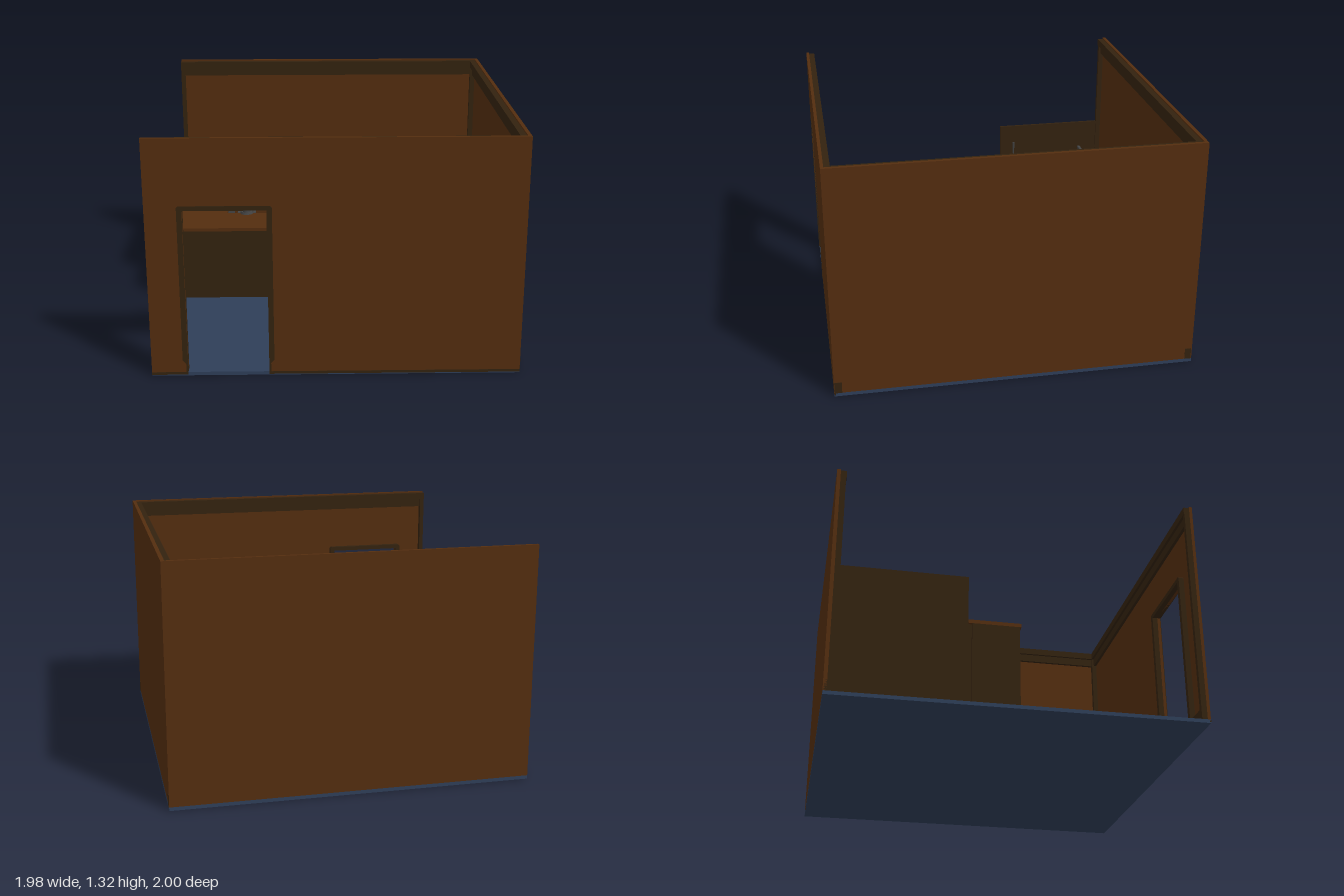
import * as THREE from 'three';

export function createModel() {
  const root = new THREE.Group();
  root.name = 'barRoom';
  const mat = (name, color) => {
    const m = new THREE.MeshStandardMaterial({ color });
    m.name = name;
    return m;
  };
  const wood = mat('brown wood', 0x532d0f);
  const trim = mat('dark wood trim', 0x33220f);
  const blue = mat('blue floor', 0x2e3e58);
  const steel = mat('grey steel', 0x444444);
  const glass = mat('dark glass', 0x2a3038);

  const add = (name, geo, m, parent = root) => {
    const mesh = new THREE.Mesh(geo, m);
    mesh.name = name;
    parent.add(mesh);
    return mesh;
  };
  // Box given by its limits on each axis
  const box = (name, m, x0, x1, y0, y1, z0, z1, parent = root) => {
    const b = add(name, new THREE.BoxGeometry(x1 - x0, y1 - y0, z1 - z0), m, parent);
    b.position.set((x0 + x1) / 2, (y0 + y1) / 2, (z0 + z1) / 2);
    return b;
  };
  const rod = (name, m, rTop, rBottom, y0, y1, x, z, parent, sides = 16) => {
    const c = add(name, new THREE.CylinderGeometry(rTop, rBottom, y1 - y0, sides), m, parent);
    c.position.set(x, (y0 + y1) / 2, z);
    return c;
  };
  const group = (name) => {
    const g = new THREE.Group();
    g.name = name;
    root.add(g);
    return g;
  };
  // Ring of four boxes around a rectangular recess
  const rim = (name, m, o, i, y0, y1, parent) => {
    box(name, m, o[0], i[0], y0, y1, o[2], o[3], parent);
    box(name, m, i[1], o[1], y0, y1, o[2], o[3], parent);
    box(name, m, i[0], i[1], y0, y1, o[2], i[2], parent);
    box(name, m, i[0], i[1], y0, y1, i[3], o[3], parent);
  };
  // Flat outline standing in the xy plane, extruded along z
  const panel = (name, m, pts, z0, z1) => {
    const s = new THREE.Shape(pts.map(([x, y]) => new THREE.Vector2(x, y)));
    const geo = new THREE.ExtrudeGeometry(s, { depth: z1 - z0, bevelEnabled: false });
    add(name, geo, m).position.z = z0;
  };

  const H = 1.32, W = 0.99, F = 0.02;
  const doorL = -0.795, doorR = -0.36, doorTop = 0.935;

  // Floor and walls; the left side stays open
  box('floor', blue, -W, W, 0, F, -1, 0.997);
  box('backWall', wood, -W, W, F, H, -1, -0.98);
  box('rightWall', wood, 0.97, W, F, H, -0.98, 0.98);
  panel('frontWall', wood, [
    [-W, F], [doorL, F], [doorL, doorTop], [doorR, doorTop], [doorR, F], [W, F], [W, H], [-W, H],
  ], 0.98, 0.997);
  box('frontSill', trim, -W, doorL, 0.005, F, 0.99, 0.998);
  box('frontSill', trim, doorR, W, 0.005, F, 0.99, 0.998);

  // Door frame around the opening
  const fo = 0.028;
  panel('doorFrame', trim, [
    [doorL - fo, 0.09], [doorL - 0.01, 0.07], [doorL - 0.01, F], [doorL, F], [doorL, doorTop],
    [doorR, doorTop], [doorR, F], [doorR + 0.01, F], [doorR + 0.01, 0.07], [doorR + fo, 0.09],
    [doorR + fo, doorTop + 0.015], [doorR + fo - 0.01, doorTop + 0.025],
    [doorL - fo + 0.01, doorTop + 0.025], [doorL - fo, doorTop + 0.015],
  ], 0.95, 1);

  // Crown moulding in two steps, and baseboards
  const crown = [[0.018, H - 0.1, H - 0.05], [0.033, H - 0.05, H - 0.008]];
  for (const [d, y0, y1] of crown) {
    box('backCrown', trim, -W, 0.97, y0, y1, -0.98, -0.98 + d);
    box('frontCrown', trim, -W, 0.97, y0, y1, 0.98 - d, 0.98);
    box('rightCrown', trim, 0.97 - d, 0.97, y0, y1, -0.98, 0.98);
  }
  const b0 = F, b1 = 0.085;
  box('backBaseboard', trim, -W, W + 0.002, b0, b1, -0.995, -0.96);
  box('frontBaseboard', trim, -W, doorL - 0.01, b0, b1, 0.955, 0.98);
  box('frontBaseboard', trim, doorR + 0.01, W + 0.002, b0, b1, 0.955, 0.995);
  box('rightBaseboard', trim, 0.945, 0.97, b0, b1, -0.98, 0.98);

  // Vertical posts at wall ends and inner corners
  for (const [x0, x1] of [[-W, -W + 0.025], [0.94, 0.97]]) {
    box('backPost', trim, x0, x1, F, H - 0.05, -0.98, -0.95);
    box('frontPost', trim, x0, x1, F, H - 0.05, 0.95, 0.98);
  }

  // Low partition on the open side
  box('lowPartition', trim, -W, -0.975, F, 0.73, -0.98, -0.28);

  // Bar counter with its return toward the back
  const bar = group('barCounter');
  box('barBody', trim, -W, 0.58, F, 0.46, -0.26, -0.01, bar);
  box('barTop', wood, -W, 0.59, 0.46, 0.48, -0.28, 0, bar);
  box('returnBody', trim, -0.975, -0.67, F, 0.46, -0.41, -0.26, bar);
  box('returnTop', wood, -0.975, -0.66, 0.46, 0.48, -0.41, -0.28, bar);

  // Sink unit with recessed basin and drainboard
  const sink = group('sinkUnit');
  box('sinkCabinet', steel, -0.975, -0.66, F, 0.38, -0.955, -0.41, sink);
  rim('sinkTop', steel, [-0.975, -0.66, -0.955, -0.41], [-0.92, -0.675, -0.94, -0.69], 0.38, 0.49, sink);
  rod('faucetPost', steel, 0.008, 0.01, 0.49, 0.56, -0.95, -0.83, sink);
  box('faucetSpout', steel, -0.96, -0.895, 0.55, 0.562, -0.838, -0.822, sink);

  // Back bar: cooler cabinets with glazed doors under a wooden top
  const back = group('backBar');
  box('coolerBody', steel, -0.355, 0.61, F, 0.485, -0.955, -0.73, back);
  box('backBarTop', wood, -0.37, 0.62, 0.485, 0.51, -0.96, -0.71, back);
  for (let i = 0; i < 3; i++) {
    const x0 = -0.355 + i * 0.3217, x1 = x0 + 0.3217;
    rim('coolerDoorSide', steel, [x0 + 0.01, x1 - 0.01, -0.73, -0.72],
      [x0 + 0.035, x1 - 0.035, -0.73, -0.72], 0.06, 0.47, back);
    for (const y of [0.06, 0.445])
      box('coolerDoorRail', steel, x0 + 0.035, x1 - 0.035, y, y + 0.025, -0.73, -0.72, back);
    box('coolerGlass', glass, x0 + 0.035, x1 - 0.035, 0.085, 0.445, -0.73, -0.725, back);
  }

  // Ice chest in the corner with a recessed well
  const ice = group('iceChest');
  const outer = [0.635, 0.94, -0.955, -0.72];
  box('chestBody', steel, 0.635, 0.94, F, 0.38, -0.955, -0.72, ice);
  rim('chestRim', steel, outer, [0.672, 0.905, -0.922, -0.757], 0.38, 0.47, ice);

  // Drink tap with a drip tray on the serving side
  const tap = group('drinkTap');
  const tx = -0.538, tz = -0.27;
  box('trayBottom', steel, -0.595, -0.482, 0.435, 0.445, -0.36, -0.281, tap);
  rim('trayRim', steel, [-0.595, -0.482, -0.36, -0.281], [-0.58, -0.497, -0.347, -0.292], 0.445, 0.482, tap);
  rod('tapBase', steel, 0.036, 0.04, 0.48, 0.495, tx, tz - 0.012, tap);
  rod('tapTower', steel, 0.021, 0.024, 0.495, 0.7, tx, tz, tap);
  rod('tapHandle', steel, 0.006, 0.004, 0.69, 0.785, tx, tz - 0.012, tap, 8);
  const spout = rod('tapSpout', steel, 0.007, 0.007, 0.62, 0.68, tx, tz - 0.04, tap, 8);
  spout.rotation.x = Math.PI / 2;
  rod('tapNozzle', steel, 0.007, 0.005, 0.61, 0.655, tx, tz - 0.064, tap, 8);

  return root;
}
